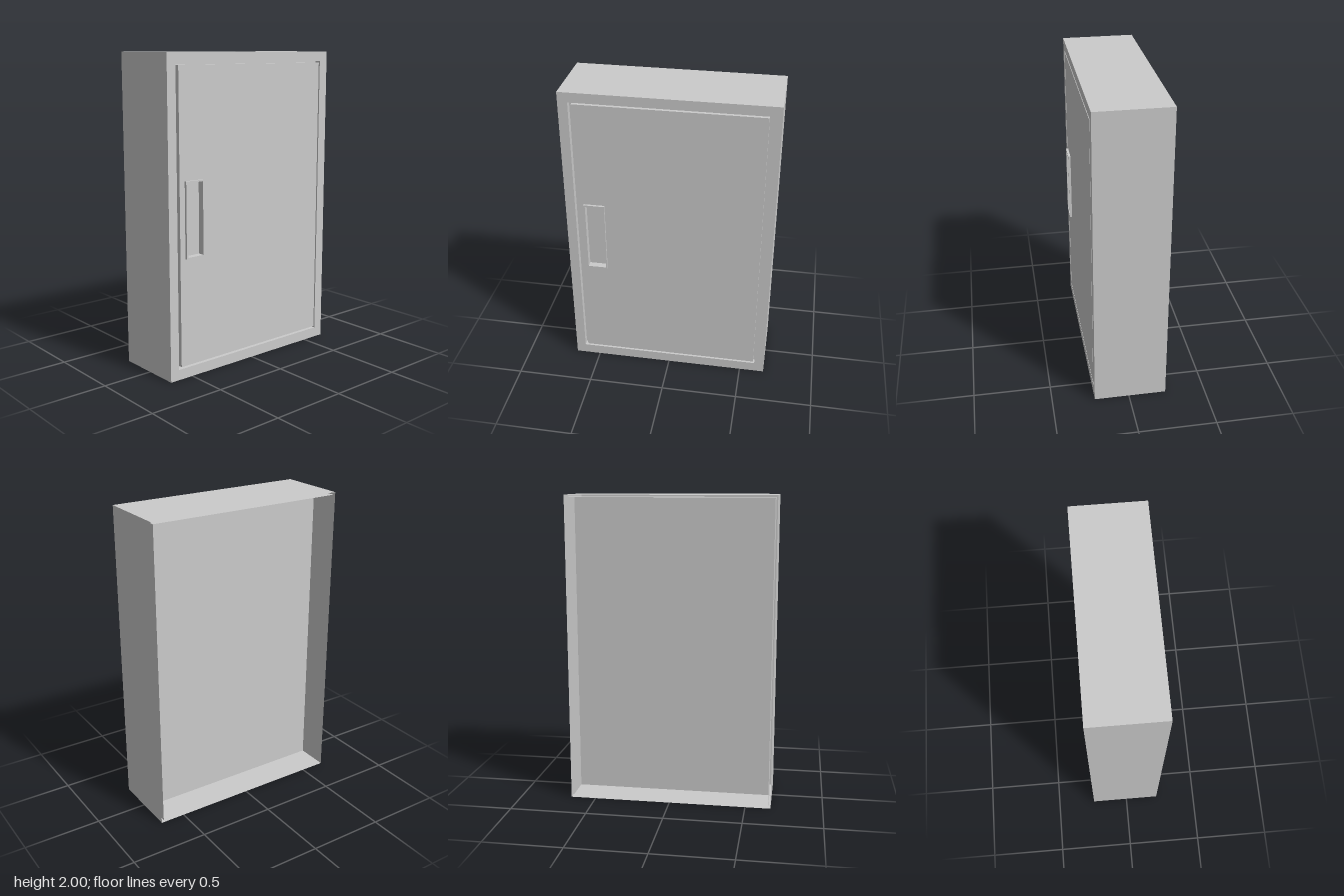
import * as THREE from 'three';

const W = 1.33, H = 2, MID = 1;
const BACK = -0.243, FRONT = 0.225, FRAME_BACK = 0.185;

const solid = new THREE.MeshStandardMaterial({ color: 0xcccccc, flatShading: true });
const sheet = new THREE.MeshStandardMaterial({ color: 0xcccccc, flatShading: true, side: THREE.DoubleSide });

// Rectangle outline given by its edges
function rect(Type, x0, x1, y0, y1) {
  return new Type([[x0, y0], [x1, y0], [x1, y1], [x0, y1]].map(([x, y]) => new THREE.Vector2(x, y)));
}

// Flat slab from z0 to z1, with an optional rectangular hole
function slab(name, outer, hole, z0, z1) {
  const shape = rect(THREE.Shape, ...outer);
  if (hole) shape.holes.push(rect(THREE.Path, ...hole));
  const geometry = new THREE.ExtrudeGeometry(shape, { depth: z1 - z0, bevelEnabled: false });
  const mesh = new THREE.Mesh(geometry, solid);
  mesh.name = name;
  mesh.position.z = z0;
  return mesh;
}

// Thin upright sheet facing the front
function panel(name, w, h, x, y, z) {
  const mesh = new THREE.Mesh(new THREE.PlaneGeometry(w, h), sheet);
  mesh.name = name;
  mesh.position.set(x, y, z);
  return mesh;
}

// Four thin walls, open at the front and back
function sleeve(name, w, h, z0, z1) {
  const group = new THREE.Group();
  group.name = name;
  const depth = z1 - z0, z = (z0 + z1) / 2;
  for (const s of [-1, 1]) {
    const side = new THREE.Mesh(new THREE.PlaneGeometry(depth, h), sheet);
    side.name = s > 0 ? 'leftWall' : 'rightWall';
    side.rotation.y = s * Math.PI / 2;
    side.position.set(s * w / 2, MID, z);
    const level = new THREE.Mesh(new THREE.PlaneGeometry(w, depth), sheet);
    level.name = s > 0 ? 'topWall' : 'bottomWall';
    level.rotation.x = -s * Math.PI / 2;
    level.position.set(0, MID + s * h / 2, z);
    group.add(side, level);
  }
  return group;
}

export function createModel() {
  const model = new THREE.Group();
  model.name = 'wallCabinet';

  // Casing: outer walls and a slightly smaller lining, open at the back
  model.add(sleeve('outerCasing', W, H, BACK, FRAME_BACK));
  model.add(sleeve('innerLining', W - 0.03, H - 0.03, BACK, -0.05));

  // Inner wall and the mounting plate floating behind it
  model.add(panel('innerWall', W - 0.03, H - 0.03, 0, MID, -0.05));
  model.add(panel('mountingPlate', 1.02, 1.68, 0, MID, -0.167));

  // Front frame, and the bottom of the groove around the door
  model.add(slab('frontFrame', [-W / 2, W / 2, 0, H], [-0.603, 0.6, 0.067, 1.937], FRAME_BACK, FRONT));
  model.add(panel('grooveBacking', W - 0.04, H - 0.04, 0, MID, FRAME_BACK + 0.001));

  // Door with a cut-out for the handle
  const cutout = [-0.535, -0.417, 0.773, 1.232];
  model.add(slab('door', [-0.583, 0.59, 0.08, 1.927], cutout, FRAME_BACK + 0.002, FRONT));

  // Recessed handle: raised rim and sunken floor
  const handle = new THREE.Group();
  handle.name = 'handle';
  handle.add(slab('handleRim', [-0.545, -0.41, 0.764, 1.242], cutout, FRONT, 0.24));
  handle.add(panel('handleFloor', 0.118, 0.459, -0.476, 1.0025, 0.197));
  model.add(handle);

  return model;
}
